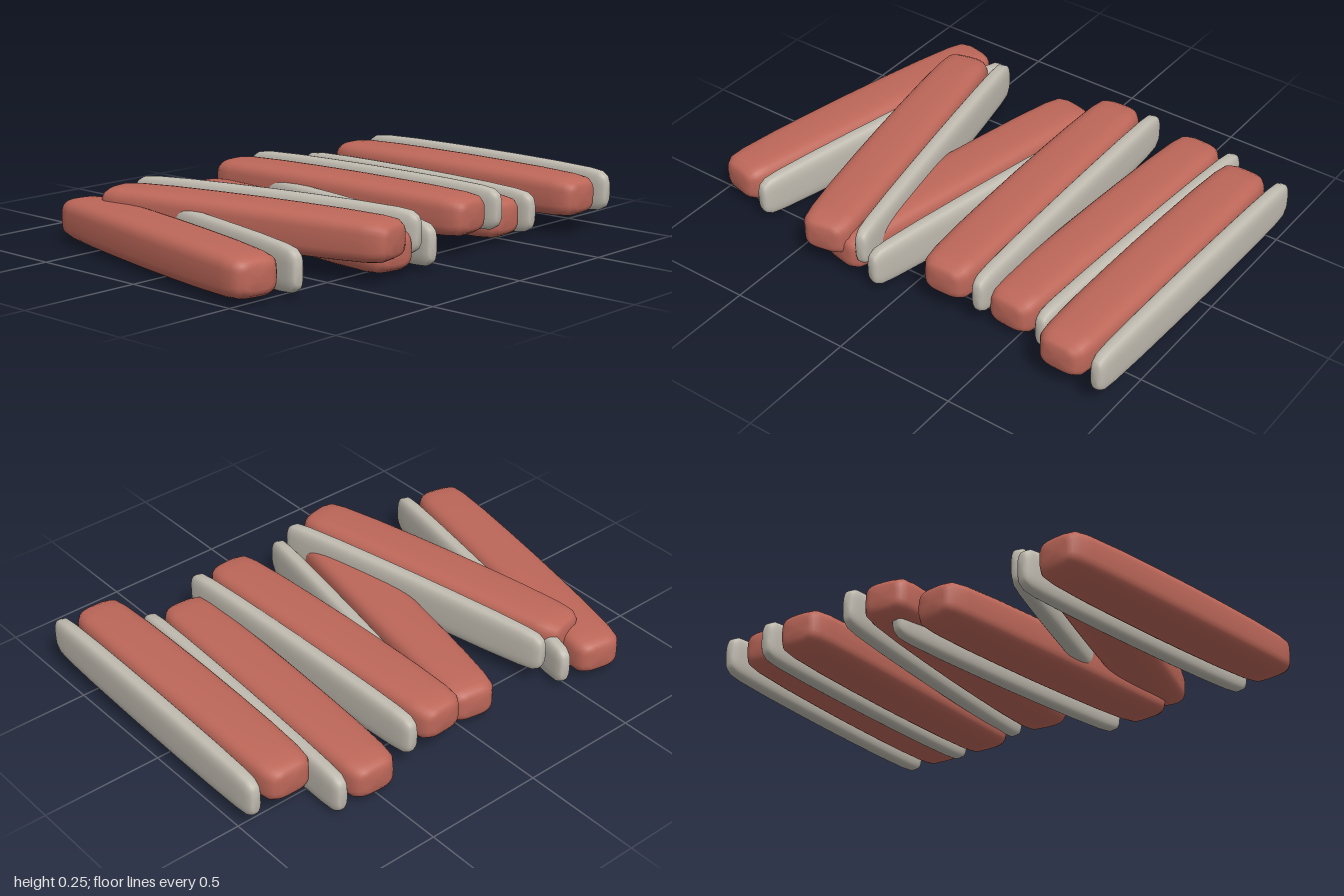
import * as THREE from 'three';

// half-length fraction and cross-section scale, from the middle to the tip
const PROFILE = [[0.3, 0.99], [0.6, 0.965], [0.85, 0.91], [0.945, 0.84], [0.985, 0.68], [1, 0.48]];
const SIDES = 32;

// Bulging bar along x, lofted from rounded-rectangle sections
function barGeometry(length, height, depth, power) {
  const stations = [
    [-1, 0], ...PROFILE.map(([t, s]) => [-t, s]).reverse(),
    [0, 1], ...PROFILE, [1, 0],
  ];
  const pos = [], index = [];
  const round = (v) => Math.sign(v) * Math.abs(v) ** (2 / power);
  for (const [t, s] of stations) {
    for (let i = 0; i < SIDES; i++) {
      const a = (i / SIDES) * Math.PI * 2;
      pos.push(t * length / 2, round(Math.cos(a)) * s * height / 2, round(Math.sin(a)) * s * depth / 2);
    }
  }
  for (let r = 0; r < stations.length - 1; r++) {
    for (let i = 0; i < SIDES; i++) {
      const j = (i + 1) % SIDES;
      const a = r * SIDES + i, b = r * SIDES + j, c = a + SIDES, d = b + SIDES;
      index.push(a, b, c, b, d, c);
    }
  }
  const g = new THREE.BufferGeometry();
  g.setAttribute('position', new THREE.Float32BufferAttribute(pos, 3));
  g.setIndex(index);
  g.computeVertexNormals();
  return g;
}

export function createModel() {
  const red = new THREE.MeshStandardMaterial({ color: 0xbd6759 });
  red.name = 'brickRed';
  const grey = new THREE.MeshStandardMaterial({ color: 0xc0bbb0 });
  grey.name = 'warmGrey';

  const barGeo = barGeometry(1.31, 0.18, 0.235, 3.6);
  const slabGeo = barGeometry(1.31, 0.195, 0.075, 3.2);

  // each pair: bar x, bar z, slab x, slab z, slope of z along x, raised
  const pairs = [
    [0.073, -0.793, 0.075, -0.958, 0.02, true],
    [-0.065, -0.49, -0.057, -0.647, 0.05, false],
    [-0.022, -0.172, -0.025, -0.333, -0.03, true],
    [0.01, 0.17, 0.035, -0.012, 0.19, false],
    [0.05, 0.457, 0.02, 0.293, -0.187, true],
    [-0.09, 0.77, -0.052, 0.609, 0.21, false],
  ];

  const model = new THREE.Group();
  model.name = 'layeredBars';
  pairs.forEach(([bx, bz, sx, sz, slope, raised], i) => {
    const pair = new THREE.Group();
    pair.name = `pair${i + 1}`;
    const y = raised ? 0.157 : 0.0985;
    const add = (name, geo, mat, x, z) => {
      const m = new THREE.Mesh(geo, mat);
      m.name = name;
      m.position.set(x, y, z);
      m.rotation.y = -Math.atan(slope);
      pair.add(m);
    };
    add('redBar', barGeo, red, bx, bz);
    add('greySlab', slabGeo, grey, sx, sz);
    model.add(pair);
  });
  return model;
}
